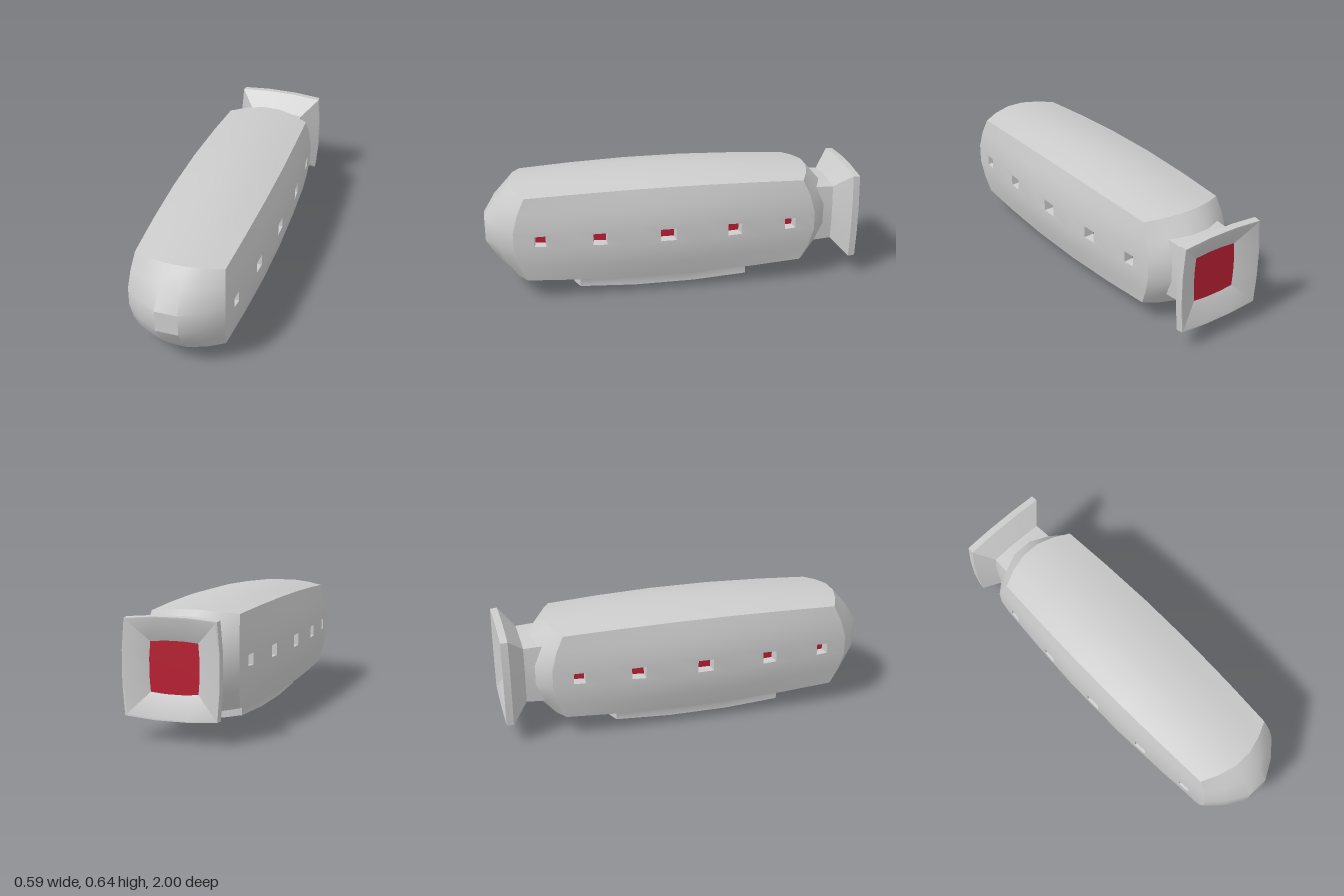
import * as THREE from 'three';
import { toCreasedNormals } from 'three/addons/utils/BufferGeometryUtils.js';

const CY = 0.346, CZ = 0.055;               // hull centre
const STEPS = [-1, -0.6, -0.2, 0.2, 0.6, 1]; // five cells per hull face
const grey = new THREE.MeshStandardMaterial({ color: 0xcccccc });
const red = new THREE.MeshStandardMaterial({ color: 0xb81f33 });
const V = (x, y, z) => new THREE.Vector3(x, y, z);

// A box point pulled 55% of the way to a sphere, then stretched to hull size
function bulge(p) {
  const k = 0.45 + 0.55 / Math.max(1, p.length());
  return V(p.x * 0.3 * k, CY + p.y * 0.3 * k, CZ + p.z * 0.965 * k);
}

// Each face maps (u, v) to the box so that u x v points outward
const FACES = {
  front: (u, v) => bulge(V(u, v, 1)),
  rear: (u, v) => bulge(V(-u, v, -1)),
  left: (u, v) => bulge(V(1, v, -u)),
  right: (u, v) => bulge(V(-1, v, u)),
  top: (u, v) => bulge(V(u, 1, -v)),
  bottom: (u, v) => bulge(V(u, -1, v)),
};

function quad(out, a, b, c, d) {
  out.push(a, b, c, a, c, d);
}

// Skin between successive counter-clockwise rings
function loft(out, rings) {
  for (let r = 0; r + 1 < rings.length; r++) {
    const A = rings[r], B = rings[r + 1], n = A.length;
    for (let i = 0; i < n; i++) {
      const j = (i + 1) % n;
      quad(out, A[i], A[j], B[j], B[i]);
    }
  }
}

// Fan that closes a ring
function cap(out, ring) {
  const mid = V(0, 0, 0);
  ring.forEach((p) => mid.addScaledVector(p, 1 / ring.length));
  ring.forEach((p, i) => out.push(mid, p, ring[(i + 1) % ring.length]));
}

function makeMesh(name, points, material) {
  const geo = new THREE.BufferGeometry().setFromPoints(points);
  const m = new THREE.Mesh(toCreasedNormals(geo, Math.PI / 6), material);
  m.name = name;
  return m;
}

// Outline of the middle 3 x 3 cells of a face, counter-clockwise
function middleRing(face) {
  const pts = [];
  let u = -0.6, v = -0.6;
  for (const [du, dv] of [[0.4, 0], [0, 0.4], [-0.4, 0], [0, -0.4]]) {
    for (let i = 0; i < 3; i++) {
      pts.push(face(u, v));
      u += du;
      v += dv;
    }
  }
  return pts;
}

export function createModel() {
  const group = new THREE.Group();
  const hull = [], windowPanes = [];

  // Hull faces, with a recessed window in each cell of the side middle rows
  for (const [name, face] of Object.entries(FACES)) {
    const isSide = name === 'left' || name === 'right';
    const isOpen = name === 'rear' || name === 'bottom';
    for (let i = 0; i < 5; i++) {
      for (let j = 0; j < 5; j++) {
        if (isOpen && i > 0 && i < 4 && j > 0 && j < 4) continue;
        const [u0, u1, v0, v1] = [STEPS[i], STEPS[i + 1], STEPS[j], STEPS[j + 1]];
        const cell = [face(u0, v0), face(u1, v0), face(u1, v1), face(u0, v1)];
        if (!isSide || j !== 2) {
          quad(hull, ...cell);
          continue;
        }
        const mid = V(0, 0, 0);
        cell.forEach((p) => mid.addScaledVector(p, 0.25));
        const normal = cell[1].clone().sub(cell[0])
          .cross(cell[3].clone().sub(cell[0])).normalize();
        const inset = (s, depth) => cell.map((p) => V(
          mid.x + (p.x - mid.x) * 0.22 * s,
          mid.y + (p.y - mid.y) * 0.55 * s,
          mid.z + (p.z - mid.z) * 0.22 * s,
        ).addScaledVector(normal, -depth));
        const back = inset(0.85, 0.05);
        loft(hull, [cell, inset(1, 0), back]);
        cap(windowPanes, back);
      }
    }
  }
  group.add(makeMesh('hull', hull, grey));
  group.add(makeMesh('windowPanes', windowPanes, red));

  // Rear engine: neck, flare, rim and funnel
  const rearRing = middleRing(FACES.rear);
  const rearAt = (s, z) => rearRing.map((p) => V(p.x * s, CY + (p.y - CY) * s, z));
  const glow = rearAt(0.77, -0.95);
  const engine = [], engineGlow = [];
  loft(engine, [rearRing, rearAt(0.97, -0.88), rearAt(1.5, -0.963),
    rearAt(1.48, -1), rearAt(1.43, -1), glow]);
  cap(engineGlow, glow);
  group.add(makeMesh('engineNozzle', engine, grey));
  group.add(makeMesh('engineGlow', engineGlow, red));

  // Belly bay: sloped skirt, upright walls, rim and deep pocket
  const bellyRing = middleRing(FACES.bottom);
  const bellyAt = (s, dy) => bellyRing.map((p) => V(p.x * s, p.y + dy, CZ + (p.z - CZ) * s));
  const ceiling = bellyAt(0.79, 0.09);
  const bay = [], bayCeiling = [];
  loft(bay, [bellyRing, bellyAt(0.91, -0.03), bellyAt(0.91, -0.0715),
    bellyAt(0.79, -0.0715), ceiling]);
  cap(bayCeiling, ceiling);
  group.add(makeMesh('bellyBay', bay, grey));
  group.add(makeMesh('bayCeiling', bayCeiling, red));

  return group;
}
